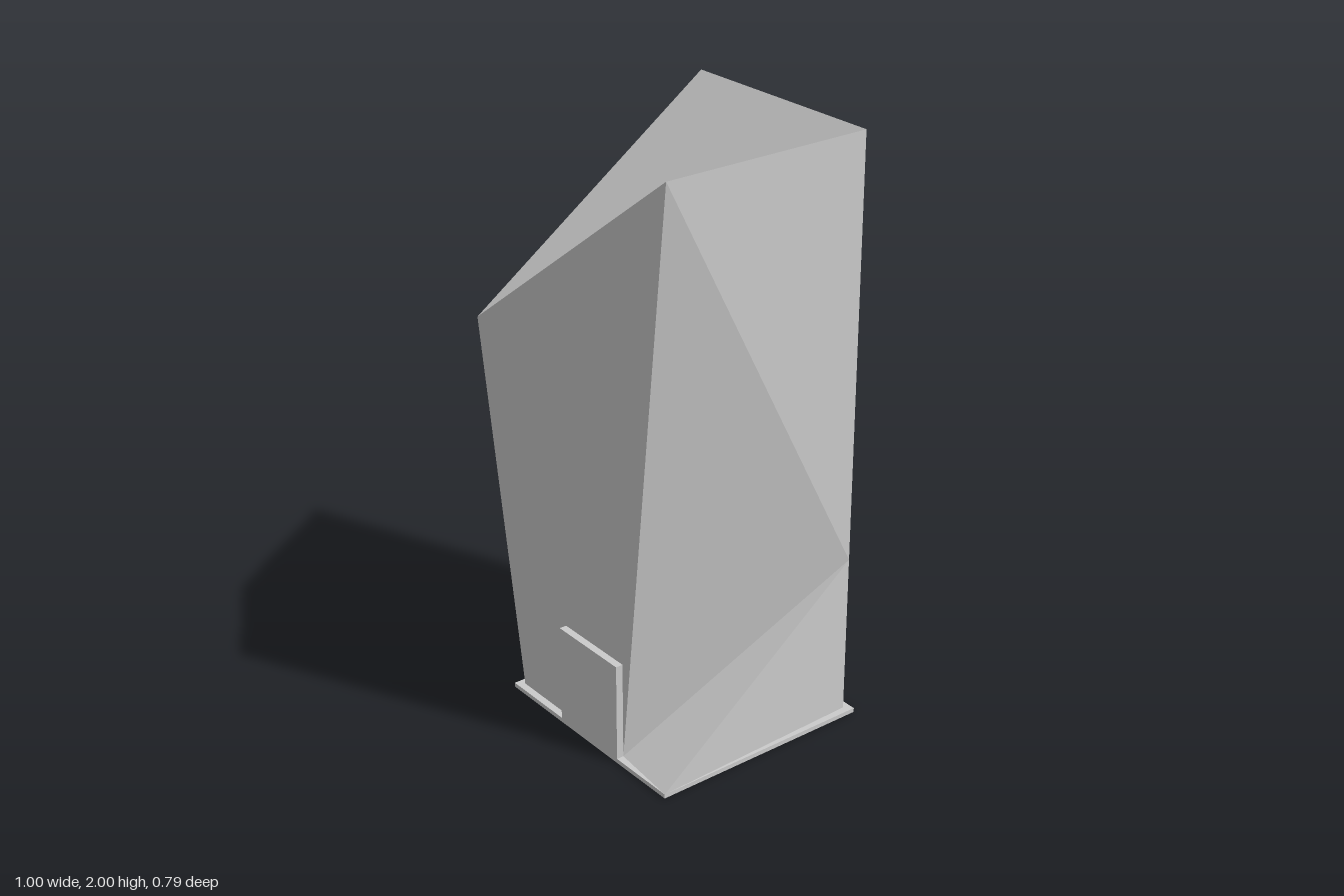
import * as THREE from 'three';

const material = new THREE.MeshStandardMaterial({ color: 0xcccccc, flatShading: true });

// Shared corners of the faceted shell
const P = {
  a: [-0.295, 0.015, 0.37], // front bottom, -x
  b: [0.25, 0.015, 0.37], // front bottom, +x
  c: [0.47, 0.015, -0.37], // back bottom, +x
  d: [-0.295, 0.015, -0.37], // back bottom, -x
  e: [-0.5, 1.28, 0.37], // low roof corner
  f: [0.47, 2, 0.37], // roof front, +x
  g: [0.47, 2, -0.37], // roof back, +x
  h: [-0.295, 2, -0.37], // roof back, -x
  k: [0.47, 0.57, -0.37], // tip of the side wedge
  w: [0.495, 0.015, 0.395], // foot of the side wedge
};

// Flat convex faces, each named by its corners counter-clockwise from outside
function facets(name, faces) {
  const positions = [];
  for (const face of faces) {
    for (let i = 1; i < face.length - 1; i++) {
      positions.push(...P[face[0]], ...P[face[i]], ...P[face[i + 1]]);
    }
  }
  const geometry = new THREE.BufferGeometry();
  geometry.setAttribute('position', new THREE.Float32BufferAttribute(positions, 3));
  geometry.computeVertexNormals();
  const mesh = new THREE.Mesh(geometry, material);
  mesh.name = name;
  return mesh;
}

// Box given by its lowest and highest corners
function block(name, min, max) {
  const size = max.map((v, i) => v - min[i]);
  const mesh = new THREE.Mesh(new THREE.BoxGeometry(...size), material);
  mesh.position.set(...max.map((v, i) => (v + min[i]) / 2));
  mesh.name = name;
  return mesh;
}

export function createModel() {
  const group = new THREE.Group();
  group.name = 'facetedTower';
  group.add(
    block('baseSlab', [-0.32, 0, -0.395], [0.495, 0.015, 0.395]),
    // Walls: front, +x side, back, -x side, underside
    facets('towerWalls', ['abfe', 'bkf', 'fkg', 'cdhg', 'deh', 'dae', 'adcb']),
    // Roof folded along its diagonal
    facets('slopedRoof', ['efg', 'egh']),
    // Wedge leaning on the +x wall
    facets('sideWedge', ['bwk', 'wck', 'bcw']),
    block('entranceBlock', [-0.05, 0.015, 0.36], [0.25, 0.355, 0.395]),
  );
  return group;
}
